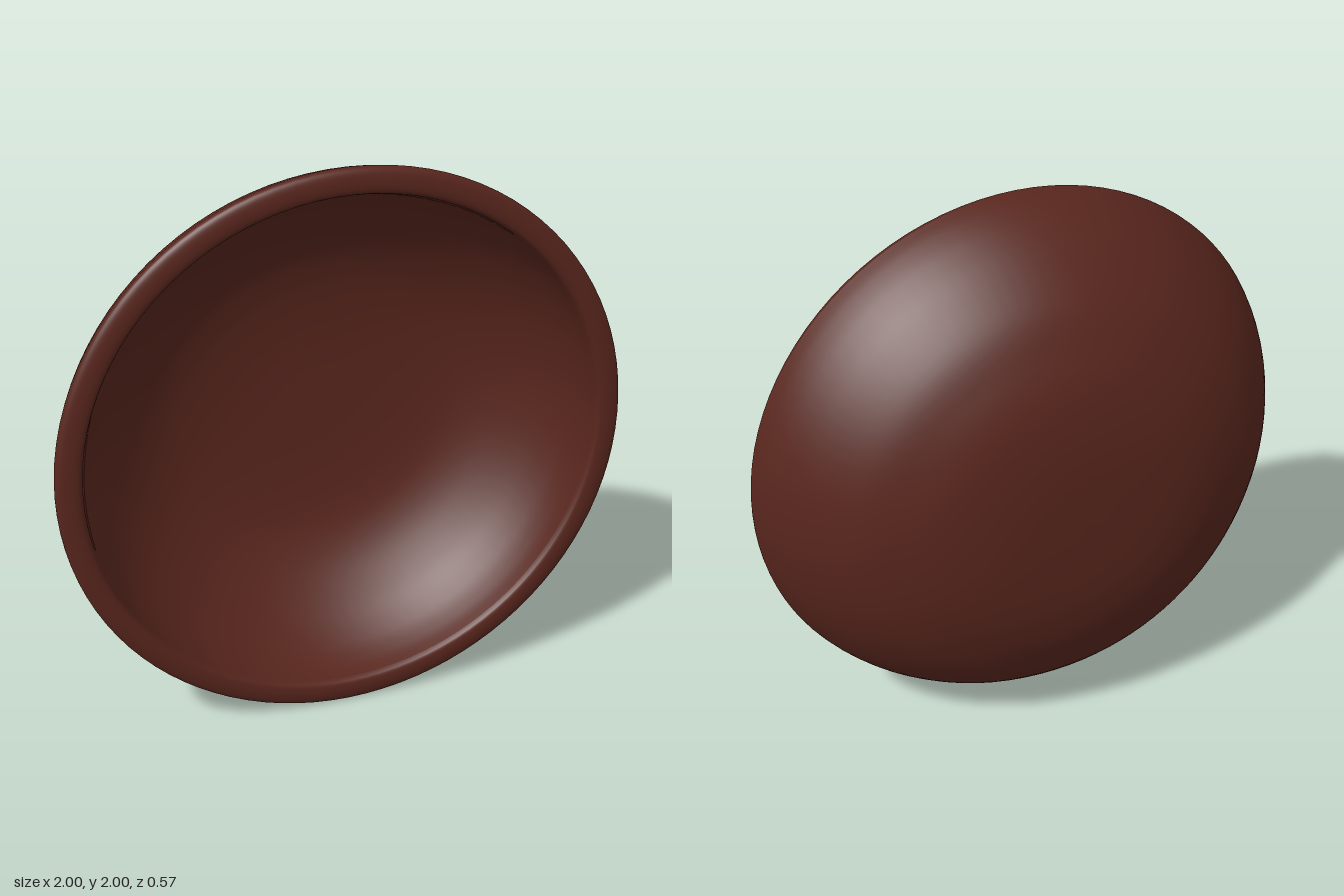
import * as THREE from 'three';

const clay = new THREE.MeshStandardMaterial({ color: 0x58261d });
clay.name = 'redBrown';

// Smooth curve through [radius, depth] points, spun around the z axis
function spun(name, points, steps) {
  const curve = new THREE.SplineCurve(points.map(([r, z]) => new THREE.Vector2(r, z)));
  const profile = curve.getPoints(steps);
  profile.forEach((p) => { p.x = Math.max(p.x, 0); });
  const geometry = new THREE.LatheGeometry(profile, 96);
  geometry.rotateX(Math.PI / 2);
  const mesh = new THREE.Mesh(geometry, clay);
  mesh.name = name;
  return mesh;
}

export function createModel() {
  // The bowl stands on its edge, opening to the front
  const bowl = new THREE.Group();
  bowl.name = 'bowl';
  bowl.position.y = 1;

  // Outer shell, from the flat base to the rim
  bowl.add(spun('outerShell', [
    [0, -0.285], [0.2, -0.283], [0.36, -0.27], [0.5, -0.238], [0.62, -0.187],
    [0.75, -0.11], [0.87, 0.01], [0.94, 0.11], [0.98, 0.19], [1, 0.25],
  ], 48));

  // Rounded rim
  bowl.add(spun('rim', [
    [1, 0.25], [0.998, 0.266], [0.985, 0.277], [0.96, 0.283],
    [0.935, 0.283], [0.918, 0.277], [0.91, 0.262],
  ], 20));

  // Hollow inside, following the shell
  bowl.add(spun('innerBowl', [
    [0.91, 0.262], [0.895, 0.2], [0.86, 0.12], [0.79, 0.02], [0.68, -0.08],
    [0.57, -0.145], [0.46, -0.18], [0.33, -0.2], [0.18, -0.21], [0, -0.212],
  ], 48));

  const model = new THREE.Group();
  model.name = 'model';
  model.add(bowl);
  return model;
}
